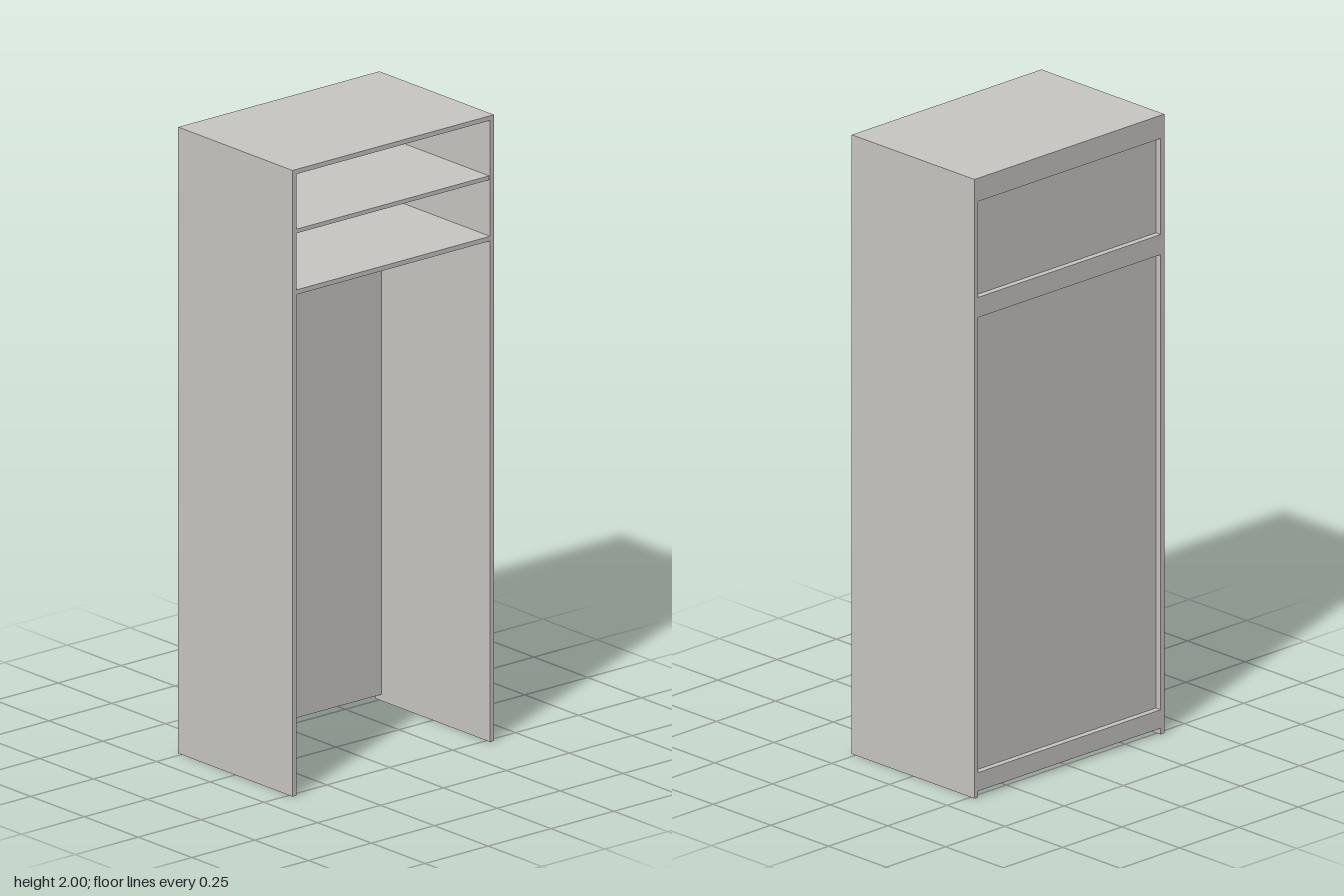
import * as THREE from 'three';

export function createModel() {
  const model = new THREE.Group();
  model.name = 'wardrobe';
  const paint = new THREE.MeshStandardMaterial({ color: 0xc8c6c3 });
  paint.name = 'warm grey';

  const X = 0.4, Z = 0.266, H = 2, T = 0.015; // half width, half depth, height, board thickness
  const inner = X - T;
  const railDepth = 0.02, panelDepth = 0.006;

  // Board given by its low and high limits on each axis
  function board(name, [x0, x1], [y0, y1], [z0, z1]) {
    const mesh = new THREE.Mesh(new THREE.BoxGeometry(x1 - x0, y1 - y0, z1 - z0), paint);
    mesh.position.set((x0 + x1) / 2, (y0 + y1) / 2, (z0 + z1) / 2);
    mesh.name = name;
    model.add(mesh);
  }

  // Sides, standing on the floor
  board('leftSide', [inner, X], [0, H], [-Z, Z]);
  board('rightSide', [-X, -inner], [0, H], [-Z, Z]);

  // Top board between the sides
  board('top', [-inner, inner], [H - T, H], [-Z, Z]);

  // Recessed back panel, clear of the floor
  const panelBack = -Z + railDepth, panelFront = panelBack + panelDepth;
  board('backPanel', [-inner, inner], [0.02, H - T], [panelBack, panelFront]);

  // Rails across the outside of the back
  board('topRail', [-inner, inner], [1.925, H - T], [-Z, panelBack]);
  board('middleRail', [-inner, inner], [1.55, 1.615], [-Z, panelBack]);
  board('bottomRail', [-inner, inner], [0.02, 0.08], [-Z, panelBack]);

  // Shelves
  board('lowerShelf', [-inner, inner], [1.6, 1.615], [panelFront, Z]);
  board('upperShelf', [-inner + 0.002, inner - 0.002], [1.795, 1.808], [panelFront, Z - 0.002]);

  return model;
}
